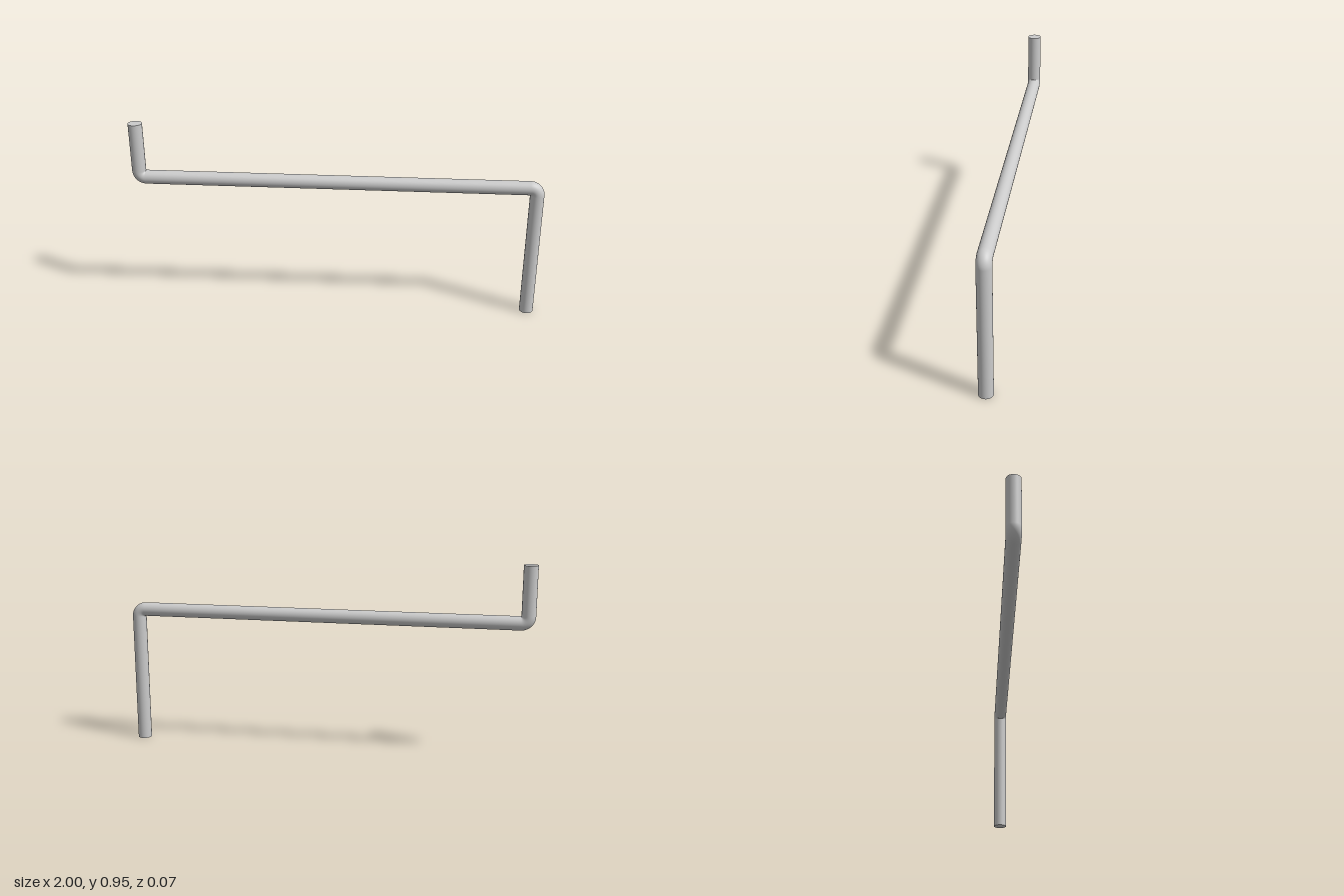
import * as THREE from 'three';

const R = 0.034;      // rod radius
const BEND = 0.035;   // centreline radius of the bends
const X = 0.966;      // centreline of the upright ends
const BAR_Y = 0.677;  // centreline of the long bar
const TOP = 0.954;

export function createModel() {
  const group = new THREE.Group();
  const material = new THREE.MeshStandardMaterial({ color: 0xcccccc });

  const add = (name, geometry, x, y, turn = 0) => {
    const mesh = new THREE.Mesh(geometry, material);
    mesh.name = name;
    mesh.position.set(x, y, 0);
    mesh.rotation.z = turn;
    group.add(mesh);
  };
  const rod = (length, open = false) => new THREE.CylinderGeometry(R, R, length, 48, 1, open);
  const elbow = () => new THREE.TorusGeometry(BEND, R, 48, 16, Math.PI / 2);

  // Long horizontal bar
  add('crossBar', rod(2 * (X - BEND), true), 0, BAR_Y, Math.PI / 2);

  // Lower post on the left, ending at the ground
  const postTop = BAR_Y - BEND;
  add('lowerPost', rod(postTop), X, postTop / 2);
  add('lowerBend', elbow(), X - BEND, postTop);

  // Short upper post on the right
  const postBase = BAR_Y + BEND;
  add('upperPost', rod(TOP - postBase), -X, (TOP + postBase) / 2);
  add('upperBend', elbow(), -X + BEND, postBase, Math.PI);

  return group;
}
